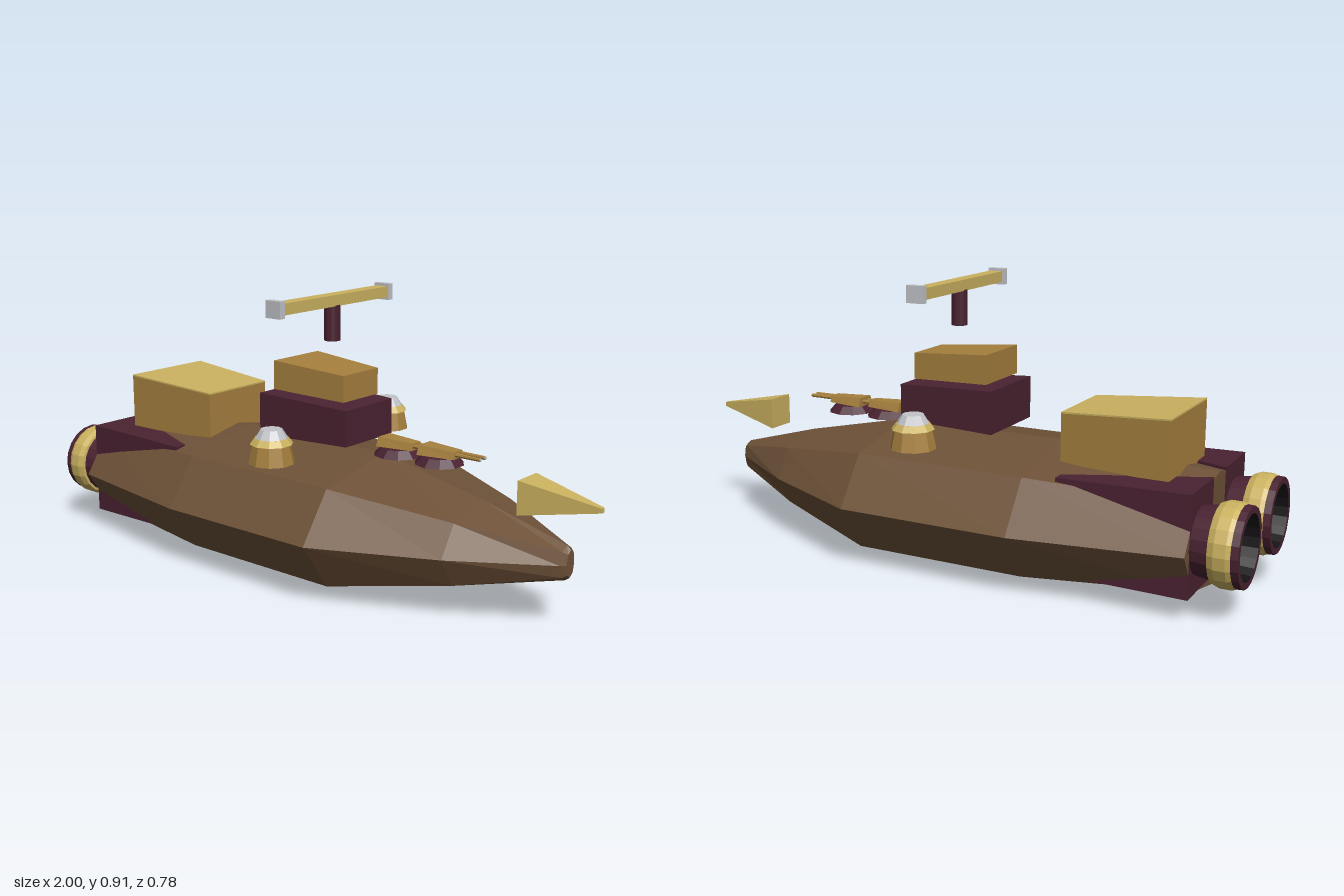
import * as THREE from 'three';

const mat = (name, color) => {
  const m = new THREE.MeshStandardMaterial({ color, flatShading: true });
  m.name = name;
  return m;
};

export function createModel() {
  const brown = mat('hull brown', 0x6e5238);
  const burgundy = mat('burgundy', 0x4a2231);
  const gold = mat('light gold', 0xcbb260);
  const brass = mat('dark gold', 0xa6803e);
  const silver = mat('silver', 0xc2c4c9);
  const black = mat('nozzle black', 0x141214);

  const ship = new THREE.Group();
  ship.name = 'airship';

  const add = (name, geometry, material, x = 0, y = 0, z = 0, parent = ship) => {
    const mesh = new THREE.Mesh(geometry, material);
    mesh.name = name;
    mesh.position.set(x, y, z);
    parent.add(mesh);
    return mesh;
  };

  // Skins a row of equal-sized rings, listed from stern to bow, and caps both ends
  const loft = (rings) => {
    const out = [];
    const tri = (...pts) => pts.forEach((p) => out.push(...p));
    const n = rings[0].length;
    for (let r = 0; r < rings.length - 1; r++) {
      const a = rings[r], b = rings[r + 1];
      for (let i = 0; i < n; i++) {
        const j = (i + 1) % n;
        tri(a[i], a[j], b[j]);
        tri(a[i], b[j], b[i]);
      }
    }
    const first = rings[0], last = rings[rings.length - 1];
    for (let i = 1; i < n - 1; i++) {
      tri(first[0], first[i + 1], first[i]);
      tri(last[0], last[i], last[i + 1]);
    }
    const g = new THREE.BufferGeometry();
    g.setAttribute('position', new THREE.Float32BufferAttribute(out, 3));
    g.computeVertexNormals();
    return g;
  };
  const rect = (x, y0, y1, z0, z1) => [[x, y1, z0], [x, y1, z1], [x, y0, z1], [x, y0, z0]];
  // Box tapering from stern to bow: each end is [x, bottom, top, halfWidth]
  const taperBox = (a, b) =>
    loft([a, b].map(([x, y0, y1, w]) => rect(x, y0, y1, -w, w)));

  // Hull: eight-sided sections [x, half height, half width]
  const section = [[1, 0], [0.74, 0.72], [0, 1], [-0.74, 0.72],
    [-1, 0], [-0.74, -0.72], [0, -1], [0.74, -0.72]];
  const stations = [[-0.855, 0.175, 0.305], [-0.34, 0.21, 0.39], [0.235, 0.21, 0.39],
    [0.61, 0.13, 0.215], [0.895, 0.053, 0.035], [0.908, 0.042, 0.022]];
  add('hull', loft(stations.map(([x, h, w]) =>
    section.map(([y, z]) => [x, 0.21 + y * h, z * w]))), brown);

  // Stern cabin with a lighter roof
  add('sternCabin', taperBox([-0.755, 0.375, 0.56, 0.165], [-0.4, 0.385, 0.537, 0.137]), brass);
  add('sternCabinRoof', taperBox([-0.755, 0.56, 0.565, 0.165], [-0.4, 0.537, 0.542, 0.137]), gold);

  // Bridge in two tiers
  add('bridgeLower', taperBox([-0.165, 0.442, 0.58, 0.14], [0.177, 0.45, 0.566, 0.117]), burgundy);
  add('bridgeUpper', taperBox([-0.13, 0.592, 0.686, 0.109], [0.142, 0.582, 0.667, 0.087]), brass);

  // Mast with a crossbeam and end caps
  add('mast', new THREE.CylinderGeometry(0.026, 0.026, 0.115, 12), burgundy, 0.024, 0.8125, 0);
  add('crossbeam', new THREE.BoxGeometry(0.046, 0.036, 0.52), gold, 0.024, 0.885, 0);

  // Nozzle parts are turned profiles [radius, distance aft of x = -0.8]
  const turned = (pts) =>
    new THREE.LatheGeometry(pts.map(([r, d]) => new THREE.Vector2(r, d)), 20);

  for (const side of [1, -1]) {
    add('beamCap', new THREE.BoxGeometry(0.058, 0.054, 0.023), silver, 0.024, 0.885, side * 0.268);

    // Side turret domes
    const dome = new THREE.Group();
    dome.name = 'sideTurret';
    dome.position.set(0.025, 0, side * 0.293);
    ship.add(dome);
    add('turretBase', new THREE.CylinderGeometry(0.06, 0.073, 0.062, 10), brass, 0, 0.444, 0, dome);
    add('turretBand', new THREE.CylinderGeometry(0.053, 0.068, 0.019, 10), gold, 0, 0.4835, 0, dome);
    add('turretCap', new THREE.CylinderGeometry(0.034, 0.051, 0.027, 10), silver, 0, 0.5065, 0, dome);

    // Engine housing wedge, showing above and below the hull shoulder
    const span = (a, b) => (side > 0 ? [a, b] : [-b, -a]);
    add('engineHousing', loft([
      rect(-0.856, 0.07, 0.382, ...span(0.06, 0.262)),
      rect(-0.44, 0.075, 0.374, ...span(0.22, 0.262)),
    ]), burgundy);

    // Engine nozzle
    const engine = new THREE.Group();
    engine.name = 'engine';
    engine.position.set(-0.8, 0.222, side * 0.165);
    engine.rotation.z = Math.PI / 2;
    ship.add(engine);
    add('nozzleShell', turned([[0.098, 0], [0.102, 0.05], [0.112, 0.12],
      [0.122, 0.17], [0.12, 0.2], [0.1, 0.2]]), burgundy, 0, 0, 0, engine);
    add('nozzleRing', turned([[0.105, 0.108], [0.119, 0.11], [0.127, 0.13],
      [0.127, 0.165], [0.122, 0.178], [0.11, 0.18]]), gold, 0, 0, 0, engine);
    add('nozzleBore', turned([[0.1, 0.2], [0.094, 0.13], [0.07, 0.13]]), black, 0, 0, 0, engine);
    add('nozzleCore', turned([[0.08, 0.135], [0, 0.135]]), silver, 0, 0, 0, engine);
  }

  // Twin-barrel deck guns
  for (const x of [0.293, 0.448]) {
    const gun = new THREE.Group();
    gun.name = 'deckGun';
    gun.position.x = x;
    ship.add(gun);
    add('gunMount', new THREE.CylinderGeometry(0.055, 0.078, 0.024, 10), burgundy, 0, 0.437, 0, gun);
    add('gunHouse', loft([
      [[-0.056, 0.478, -0.03], [-0.056, 0.478, 0.03], [-0.056, 0.449, 0.042], [-0.056, 0.449, -0.042]],
      [[0.07, 0.474, -0.02], [0.07, 0.474, 0.02], [0.07, 0.452, 0.028], [0.07, 0.452, -0.028]],
    ]), brass, 0, 0, 0, gun);
    for (const z of [-0.014, 0.014]) {
      const barrel = add('barrel', new THREE.CylinderGeometry(0.006, 0.007, 0.1, 8), brass, 0.105, 0.465, z, gun);
      const muzzle = add('muzzle', new THREE.CylinderGeometry(0.005, 0.005, 0.003, 8), silver, 0.156, 0.465, z, gun);
      barrel.rotation.z = muzzle.rotation.z = -Math.PI / 2;
    }
  }

  // Pointed bow ornament
  add('bowSpike', taperBox([0.755, 0.335, 0.44, 0.052], [1.0, 0.382, 0.396, 0.007]), gold);

  return ship;
}
